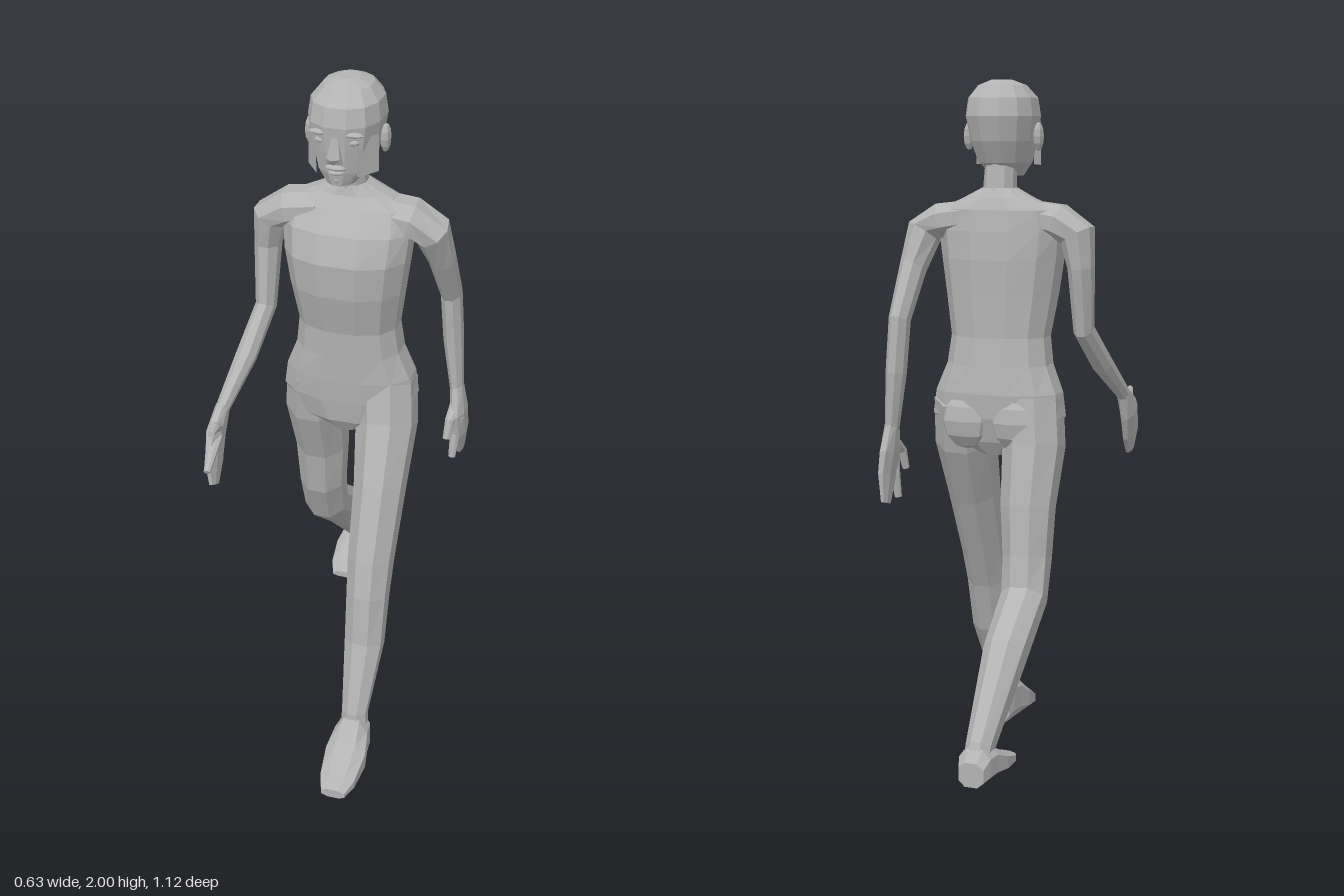
import * as THREE from 'three';

const skin = new THREE.MeshStandardMaterial({ color: 0xb3b3b3, flatShading: true });
skin.name = 'grey skin';
const skinSheet = new THREE.MeshStandardMaterial({ color: 0xb3b3b3, flatShading: true, side: THREE.DoubleSide });
skinSheet.name = 'grey skin sheet';

const X = new THREE.Vector3(1, 0, 0), Y = new THREE.Vector3(0, 1, 0), Z = new THREE.Vector3(0, 0, 1);

// Skin a tube over stations [x, y, z, radius along ref, radius across].
// Rings follow the path unless a fixed direction is given.
function loft(name, stations, { ref = X, dir = null, sides = 8, square = 1 } = {}) {
  const centres = stations.map(s => new THREE.Vector3(s[0], s[1], s[2]));
  const last = stations.length - 1, pos = [], idx = [];
  const grow = 1 / Math.cos(Math.PI / sides);
  const bend = v => Math.sign(v) * Math.pow(Math.abs(v), square);
  stations.forEach((s, i) => {
    const t = dir ? dir.clone()
      : centres[Math.min(i + 1, last)].clone().sub(centres[Math.max(i - 1, 0)]).normalize();
    const u = ref.clone().addScaledVector(t, -ref.dot(t)).normalize();
    const w = t.clone().cross(u);
    for (let j = 0; j < sides; j++) {
      const a = (j + 0.5) / sides * Math.PI * 2;
      const p = centres[i].clone()
        .addScaledVector(u, bend(Math.cos(a) * grow) * s[3])
        .addScaledVector(w, bend(Math.sin(a) * grow) * s[4]);
      pos.push(p.x, p.y, p.z);
    }
  });
  for (let i = 0; i < last; i++) {
    for (let j = 0; j < sides; j++) {
      const k = (j + 1) % sides, a = i * sides, b = a + sides;
      idx.push(a + j, a + k, b + k, a + j, b + k, b + j);
    }
  }
  for (let j = 1; j < sides - 1; j++) {
    const e = last * sides;
    idx.push(0, j + 1, j, e, e + j, e + j + 1);
  }
  const g = new THREE.BufferGeometry();
  g.setAttribute('position', new THREE.Float32BufferAttribute(pos, 3));
  g.setIndex(idx);
  g.computeVertexNormals();
  const m = new THREE.Mesh(g, skin);
  m.name = name;
  return m;
}

function ball(name, at, size, w = 8, h = 6) {
  const m = new THREE.Mesh(new THREE.SphereGeometry(1, w, h), skin);
  m.name = name;
  m.position.set(...at);
  m.scale.set(...size);
  return m;
}

// Flat-soled foot running forward from the heel
function foot(name, x, y, z, h) {
  const rows = [[0, 0.036, 0.09], [0.03, 0.045, 0.13], [0.075, 0.05, 0.13],
    [0.13, 0.06, 0.09], [0.21, 0.052, 0.045], [0.255, 0.035, 0.025]];
  return loft(name, rows.map(([d, w, t]) => [x, y + t * h / 2, z + d, w, t * h / 2]),
    { dir: Z, square: 0.8 });
}

function buildHead() {
  const head = new THREE.Group();
  head.name = 'head';
  head.add(
    loft('skull', [
      [0, 1.732, 0.07, 0.04, 0.06], [0, 1.77, 0.045, 0.072, 0.092],
      [0, 1.83, 0.033, 0.088, 0.11], [0, 1.9, 0.027, 0.1, 0.122],
      [0, 1.95, 0.026, 0.093, 0.11], [0, 1.985, 0.02, 0.065, 0.075],
      [0, 2, 0.015, 0.028, 0.035]], { dir: Y, sides: 12, square: 0.9 }),
    loft('neck', [[0, 1.64, -0.01, 0.07, 0.06], [0, 1.7, 0, 0.045, 0.05],
      [0, 1.78, 0.012, 0.042, 0.05]], { dir: Y, sides: 10 }),
    loft('nose', [[0, 1.802, 0.142, 0.022, 0.014], [0, 1.818, 0.147, 0.018, 0.02],
      [0, 1.875, 0.138, 0.008, 0.01]], { dir: Y, sides: 6 }),
    ball('upperLip', [0, 1.787, 0.138], [0.03, 0.008, 0.015]),
    ball('lowerLip', [0, 1.772, 0.134], [0.024, 0.008, 0.015]),
    ball('chin', [0, 1.748, 0.115], [0.03, 0.018, 0.02]));
  for (const s of [1, -1]) {
    const side = s > 0 ? 'left' : 'right';
    head.add(
      ball(side + 'Ear', [s * 0.105, 1.843, 0.03], [0.014, 0.04, 0.025]),
      ball(side + 'Brow', [s * 0.042, 1.882, 0.135], [0.034, 0.008, 0.014]),
      ball(side + 'Eye', [s * 0.042, 1.858, 0.127], [0.02, 0.009, 0.014]));
    // Slanted cheek sheet
    const sheet = new THREE.Mesh(new THREE.PlaneGeometry(0.073, 0.105), skinSheet);
    sheet.name = side + 'CheekSheet';
    sheet.position.set(s * 0.077, 1.815, 0.1);
    sheet.rotation.y = s * Math.atan2(0.06, 0.042);
    head.add(sheet);
  }
  return head;
}

export function createModel() {
  const body = new THREE.Group();
  body.name = 'walkingFigure';
  body.add(buildHead());

  body.add(loft('torso', [
    [0, 0.94, 0, 0.05, 0.06], [0, 0.98, 0, 0.14, 0.085], [0, 1.05, -0.005, 0.192, 0.1],
    [0, 1.12, -0.004, 0.182, 0.106], [0, 1.2, 0.003, 0.15, 0.103],
    [0, 1.28, 0.01, 0.14, 0.1], [0, 1.4, 0.024, 0.158, 0.115],
    [0, 1.5, 0.027, 0.172, 0.12], [0, 1.58, 0.018, 0.18, 0.105],
    [0, 1.64, 0, 0.17, 0.08], [0, 1.672, -0.005, 0.1, 0.062],
    [0, 1.7, 0, 0.048, 0.05]], { dir: Y, sides: 12, square: 0.85 }));
  for (const s of [1, -1]) {
    body.add(ball(s > 0 ? 'leftButtock' : 'rightButtock', [s * 0.075, 1.04, -0.065], [0.08, 0.085, 0.06]));
  }

  // Legs: the left one strides forward, the right one trails
  body.add(
    loft('leftLeg', [
      [0.12, 0.08, 0.35, 0.04, 0.035], [0.12, 0.15, 0.345, 0.036, 0.034],
      [0.122, 0.35, 0.257, 0.055, 0.052], [0.122, 0.5, 0.225, 0.058, 0.064],
      [0.12, 0.6, 0.19, 0.062, 0.073], [0.12, 0.8, 0.105, 0.07, 0.082],
      [0.115, 0.97, 0.025, 0.083, 0.09], [0.105, 1.1, -0.01, 0.08, 0.09]]),
    foot('leftFoot', 0.12, 0, 0.307, 1.1),
    loft('rightLeg', [
      [-0.125, 0.17, -0.52, 0.035, 0.035], [-0.125, 0.22, -0.495, 0.036, 0.042],
      [-0.125, 0.43, -0.295, 0.058, 0.062], [-0.125, 0.55, -0.14, 0.062, 0.06],
      [-0.12, 0.66, -0.1, 0.065, 0.07], [-0.115, 0.8, -0.08, 0.073, 0.074],
      [-0.115, 0.97, -0.03, 0.083, 0.09], [-0.105, 1.1, -0.01, 0.08, 0.09]]),
    foot('rightFoot', -0.125, 0.132, -0.562, 0.75));

  // Arms: the right one swings forward, the left one back
  const arm = { ref: Z };
  body.add(
    loft('rightArm', [
      [-0.08, 1.62, 0.01, 0.07, 0.045], [-0.17, 1.605, 0.015, 0.07, 0.05],
      [-0.228, 1.57, 0.013, 0.058, 0.048], [-0.24, 1.48, 0.01, 0.045, 0.035],
      [-0.24, 1.3, 0.04, 0.038, 0.027], [-0.262, 1.19, 0.15, 0.034, 0.028],
      [-0.29, 1.08, 0.285, 0.024, 0.018]], arm),
    loft('rightHand', [
      [-0.289, 1.09, 0.275, 0.024, 0.018], [-0.293, 1.03, 0.325, 0.05, 0.022],
      [-0.288, 0.96, 0.36, 0.05, 0.018], [-0.28, 0.9, 0.385, 0.025, 0.01]], arm),
    loft('rightFinger', [[-0.288, 1.03, 0.34, 0.02, 0.014], [-0.28, 1, 0.4, 0.014, 0.012],
      [-0.275, 0.975, 0.445, 0.009, 0.008]]),
    loft('rightThumb', [[-0.288, 1.05, 0.325, 0.018, 0.016], [-0.278, 1.075, 0.37, 0.013, 0.012],
      [-0.27, 1.08, 0.415, 0.009, 0.008]]),
    loft('leftArm', [
      [0.08, 1.62, 0, 0.07, 0.045], [0.17, 1.605, -0.005, 0.07, 0.05],
      [0.228, 1.57, -0.012, 0.058, 0.048], [0.245, 1.47, -0.058, 0.045, 0.035],
      [0.256, 1.33, -0.132, 0.038, 0.028], [0.264, 1.18, -0.142, 0.036, 0.027],
      [0.28, 1.01, -0.14, 0.026, 0.018]], arm),
    loft('leftHand', [
      [0.279, 1.03, -0.14, 0.026, 0.018], [0.287, 0.95, -0.138, 0.055, 0.022],
      [0.292, 0.88, -0.15, 0.05, 0.018], [0.288, 0.8, -0.172, 0.025, 0.01]], arm),
    loft('leftFinger', [[0.29, 0.94, -0.11, 0.018, 0.014], [0.285, 0.88, -0.11, 0.014, 0.012],
      [0.28, 0.805, -0.1, 0.01, 0.009]]),
    loft('leftThumb', [[0.285, 0.98, -0.125, 0.018, 0.014], [0.275, 0.94, -0.08, 0.013, 0.012],
      [0.27, 0.885, -0.065, 0.01, 0.009]]));
  return body;
}
